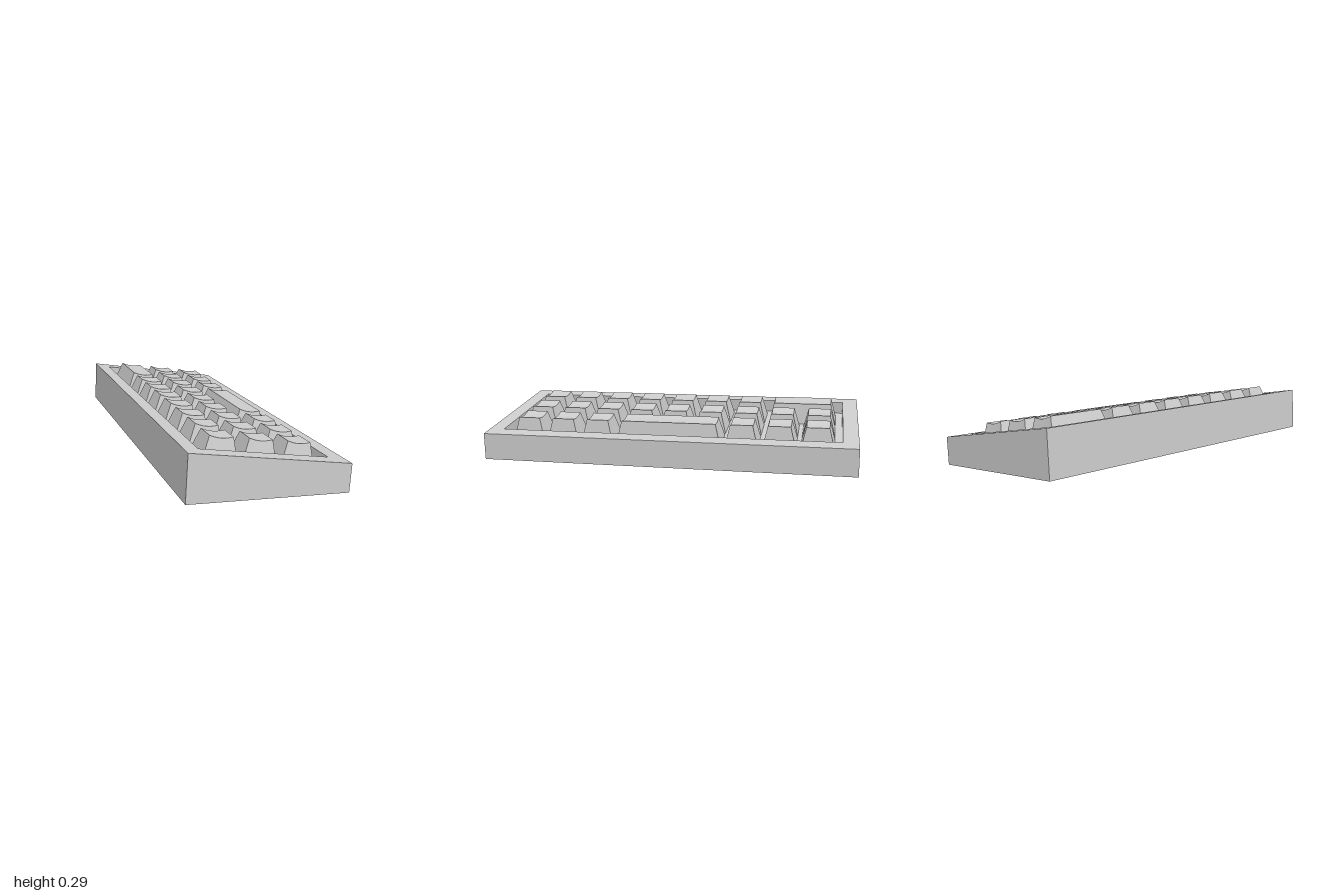
import * as THREE from 'three';

const material = new THREE.MeshStandardMaterial({ color: 0xcccccc, side: THREE.DoubleSide });
const PITCH = 0.186;        // key spacing
const SLOPE = 0.171;        // tilt of the top face
const DEPTH = 0.062;        // depth of the key well
const KEY_HEIGHT = 0.106;

// Four corners of a sloped rectangle: back edge (x0, y0), front edge (x1, y1), half length z
const ring = (x0, y0, x1, y1, z) => [[x0, y0, z], [x1, y1, z], [x1, y1, -z], [x0, y0, -z]];

// Wedge-shaped case with a sunken well, lofted through rings of four corners
function caseGeometry() {
  const dx = Math.sin(SLOPE) * DEPTH, dy = Math.cos(SLOPE) * DEPTH;
  const rings = [
    ring(-0.383, 0.045, 0.375, 0, 0.938),                                   // underside
    ring(-0.370, 0.265, 0.383, 0.135, 0.938),                               // outer top edge
    ring(-0.302, 0.2533, 0.304, 0.1487, 0.862),                             // well opening
    ring(-0.302 - dx, 0.2533 - dy, 0.304 - dx, 0.1487 - dy, 0.862),         // well floor
  ];
  const points = [];
  const quad = (a, b, c, d) => points.push(...a, ...b, ...c, ...a, ...c, ...d);
  for (let r = 0; r < 3; r++) {
    for (let i = 0; i < 4; i++) {
      const j = (i + 1) % 4;
      quad(rings[r][i], rings[r][j], rings[r + 1][j], rings[r + 1][i]);
    }
  }
  quad(...rings[3]);
  quad(...[...rings[0]].reverse());
  const g = new THREE.BufferGeometry();
  g.setAttribute('position', new THREE.Float32BufferAttribute(points, 3));
  g.computeVertexNormals();
  return g;
}

// Tapered keycap spanning a number of units, its top scooped from back to front
function keyGeometry(units) {
  const base = 0.164, inset = 0.026, scoop = 0.009;
  const length = units * PITCH - (PITCH - base);
  const g = new THREE.BoxGeometry(base, KEY_HEIGHT, length, 10, 1, 1);
  g.translate(0, KEY_HEIGHT / 2, 0);
  const p = g.attributes.position;
  for (let i = 0; i < p.count; i++) {
    if (p.getY(i) < KEY_HEIGHT / 2) continue;
    const t = p.getX(i) / (base / 2);
    p.setX(i, t * (base / 2 - inset));
    p.setZ(i, Math.sign(p.getZ(i)) * (length / 2 - inset));
    p.setY(i, KEY_HEIGHT - scoop * (1 - t * t));
  }
  g.computeVertexNormals();
  return g;
}

export function createModel() {
  const model = new THREE.Group();
  model.name = 'keypad';
  model.rotation.y = 0.2152;

  const body = new THREE.Mesh(caseGeometry(), material);
  body.name = 'case';
  model.add(body);

  // Keys stand on the sloped floor of the well
  const keys = new THREE.Group();
  keys.name = 'keys';
  keys.position.set(0.001 - Math.sin(SLOPE) * DEPTH, 0.201 - Math.cos(SLOPE) * DEPTH, 0);
  keys.rotation.z = -SLOPE;
  model.add(keys);

  // Key lengths in units, for the back, middle and front rows
  const rows = [
    [2, 1, 1, 1, 1, 1, 1, 1],
    [1, 1, 1, 1, 1, 1, 1, 1, 1],
    [1, 1, 1, 3, 1, 1, 1],
  ];
  const shapes = { 1: keyGeometry(1), 2: keyGeometry(2), 3: keyGeometry(3) };
  rows.forEach((row, r) => {
    let start = -4.5;
    for (const units of row) {
      const key = new THREE.Mesh(shapes[units], material);
      key.name = units > 1 ? 'longKey' : 'key';
      key.position.set((r - 1) * PITCH, 0, (start + units / 2) * PITCH);
      keys.add(key);
      start += units;
    }
  });

  const root = new THREE.Group();
  root.add(model);
  return root;
}
